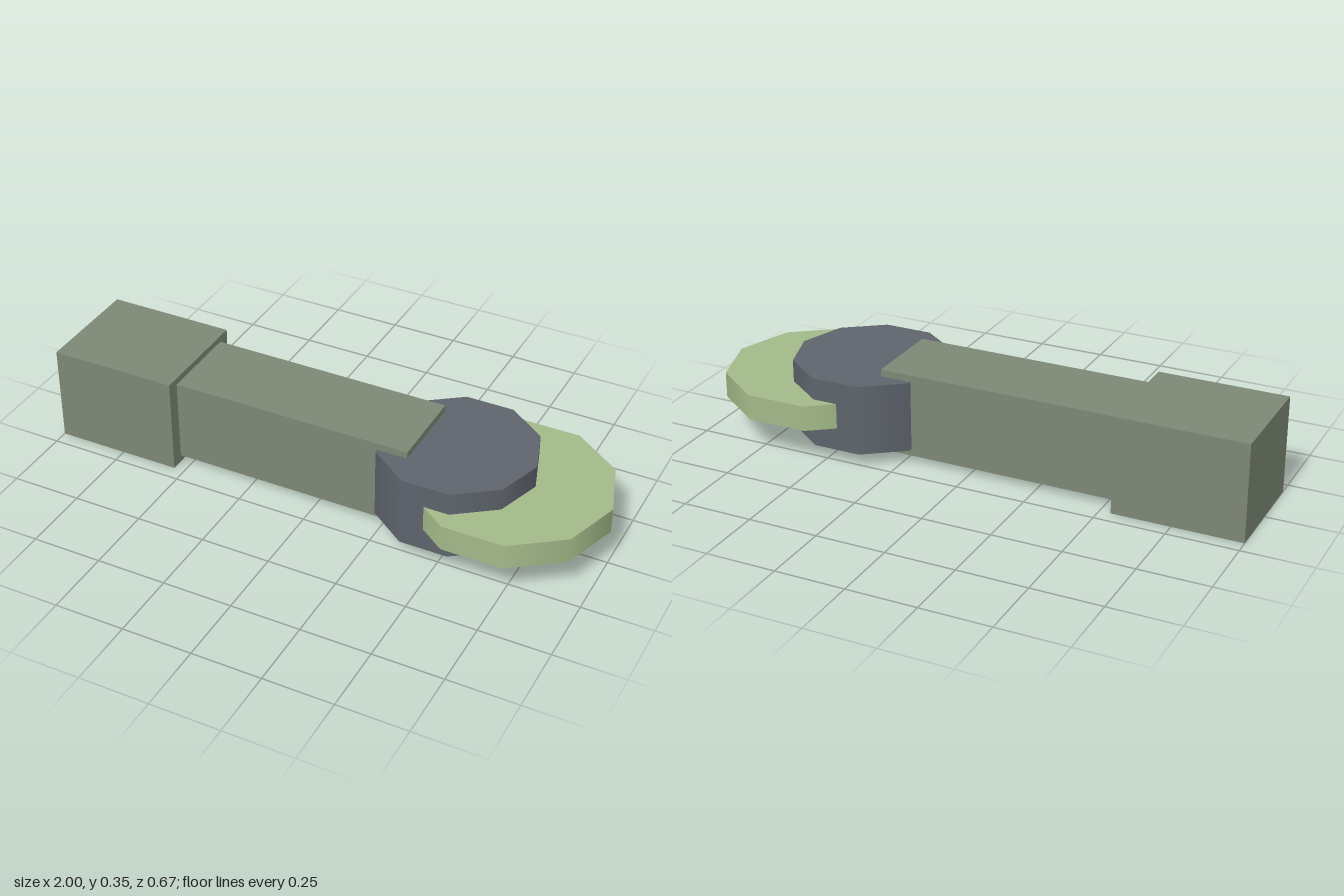
import * as THREE from 'three';

const handleGreen = new THREE.MeshStandardMaterial({ color: 0x7d8875 });
const slateGrey = new THREE.MeshStandardMaterial({ color: 0x5f646d, side: THREE.DoubleSide });
const paleGreen = new THREE.MeshStandardMaterial({ color: 0xa3ba89, side: THREE.DoubleSide });
handleGreen.name = 'handleGreen';
slateGrey.name = 'slateGrey';
paleGreen.name = 'paleGreen';

// Square bar running along x
function bar(name, x0, x1, y0, y1, depth) {
  const mesh = new THREE.Mesh(new THREE.BoxGeometry(x1 - x0, y1 - y0, depth), handleGreen);
  mesh.position.set((x0 + x1) / 2, (y0 + y1) / 2, 0);
  mesh.name = name;
  return mesh;
}

// Ten-sided cup, closed on top and open below, with a corner pointing to +x
function cup(name, x, radius, y0, y1, material) {
  const group = new THREE.Group();
  group.name = name;
  const height = y1 - y0;
  const wall = new THREE.Mesh(
    new THREE.CylinderGeometry(radius, radius, height, 10, 1, true, Math.PI / 2), material);
  wall.name = name + 'Wall';
  const lid = new THREE.Mesh(new THREE.CircleGeometry(radius, 10).rotateX(-Math.PI / 2), material);
  lid.name = name + 'Top';
  lid.position.y = height / 2;
  group.add(wall, lid);
  group.position.set(x, (y0 + y1) / 2, 0);
  return group;
}

export function createModel() {
  const model = new THREE.Group();
  model.name = 'model';
  model.add(
    bar('grip', -1, -0.54, 0, 0.35, 0.396),
    bar('shaft', -0.54, 0.335, 0.025, 0.327, 0.302),
    cup('hub', 0.452, 0.279, 0.048, 0.302, slateGrey),
    cup('disc', 0.65, 0.35, 0.13, 0.222, paleGreen),
  );
  return model;
}
